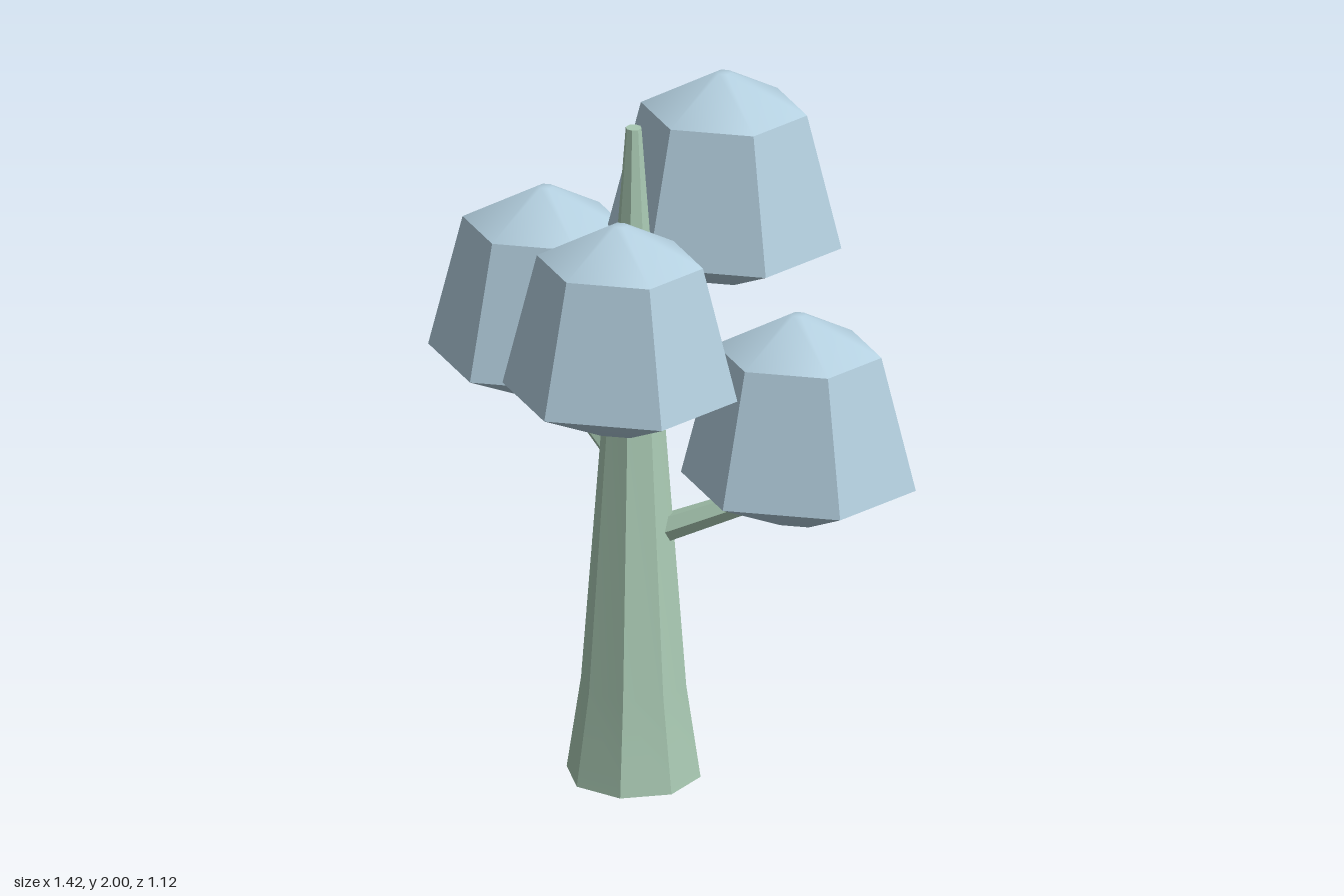
import * as THREE from 'three';
import { toCreasedNormals } from 'three/addons/utils/BufferGeometryUtils.js';

const CREASE = 0.66;
const TRUNK_X = -0.08, TRUNK_Z = -0.045;

// Faceted solid of revolution from [radius, y] pairs, optionally squashed in z
function facetedLathe(profile, sides, phiStart = 0, squash = 1) {
  const points = profile.map(([r, y]) => new THREE.Vector2(r, y));
  const geometry = new THREE.LatheGeometry(points, sides, phiStart);
  geometry.scale(1, 1, squash);
  return toCreasedNormals(geometry, CREASE);
}

export function createModel() {
  const bark = new THREE.MeshStandardMaterial({ color: 0xa8c8b2 });
  bark.name = 'pale green bark';
  const foliage = new THREE.MeshStandardMaterial({ color: 0xb4d0e0 });
  foliage.name = 'pale blue foliage';

  const tree = new THREE.Group();
  tree.name = 'tree';
  const add = (geometry, material, name, x, y, z) => {
    const mesh = new THREE.Mesh(geometry, material);
    mesh.name = name;
    mesh.position.set(x, y, z);
    tree.add(mesh);
    return mesh;
  };

  // Tapered eight-sided trunk, flared at the foot
  const trunk = facetedLathe([[0, 0], [0.187, 0], [0.147, 0.27], [0.022, 1.93], [0, 1.93]], 8);
  add(trunk, bark, 'trunk', TRUNK_X, 0, TRUNK_Z);

  // Six-sided crown, its origin at the widest ring
  const crown = facetedLathe(
    [[0, -0.11], [0.08, -0.11], [0.328, 0], [0.232, 0.39], [0.022, 0.5], [0, 0.5]],
    6, Math.PI / 2, 0.83);

  // Each crown with the branch that carries it
  const crowns = [
    ['left', 0.38, 0.91, -0.045],
    ['right', -0.382, 1.105, -0.325],
    ['front', -0.045, 1.3, 0.32],
    ['back', 0.12, 1.5, -0.305],
  ];
  for (const [side, x, y, z] of crowns) {
    add(crown, foliage, side + 'Crown', x, y, z);

    const dx = x - TRUNK_X, dz = z - TRUNK_Z, rise = 0.2;
    const reach = Math.hypot(dx, dz);
    const length = Math.hypot(reach, rise);
    const branch = new THREE.CylinderGeometry(0.03, 0.042, length, 6);
    branch.rotateY(Math.PI / 6);
    branch.translate(0, length / 2, 0);
    branch.rotateX(Math.atan2(reach, rise));
    branch.rotateY(Math.atan2(dx, dz));
    add(toCreasedNormals(branch, CREASE), bark, side + 'Branch', TRUNK_X, y - 0.21, TRUNK_Z);
  }
  return tree;
}
